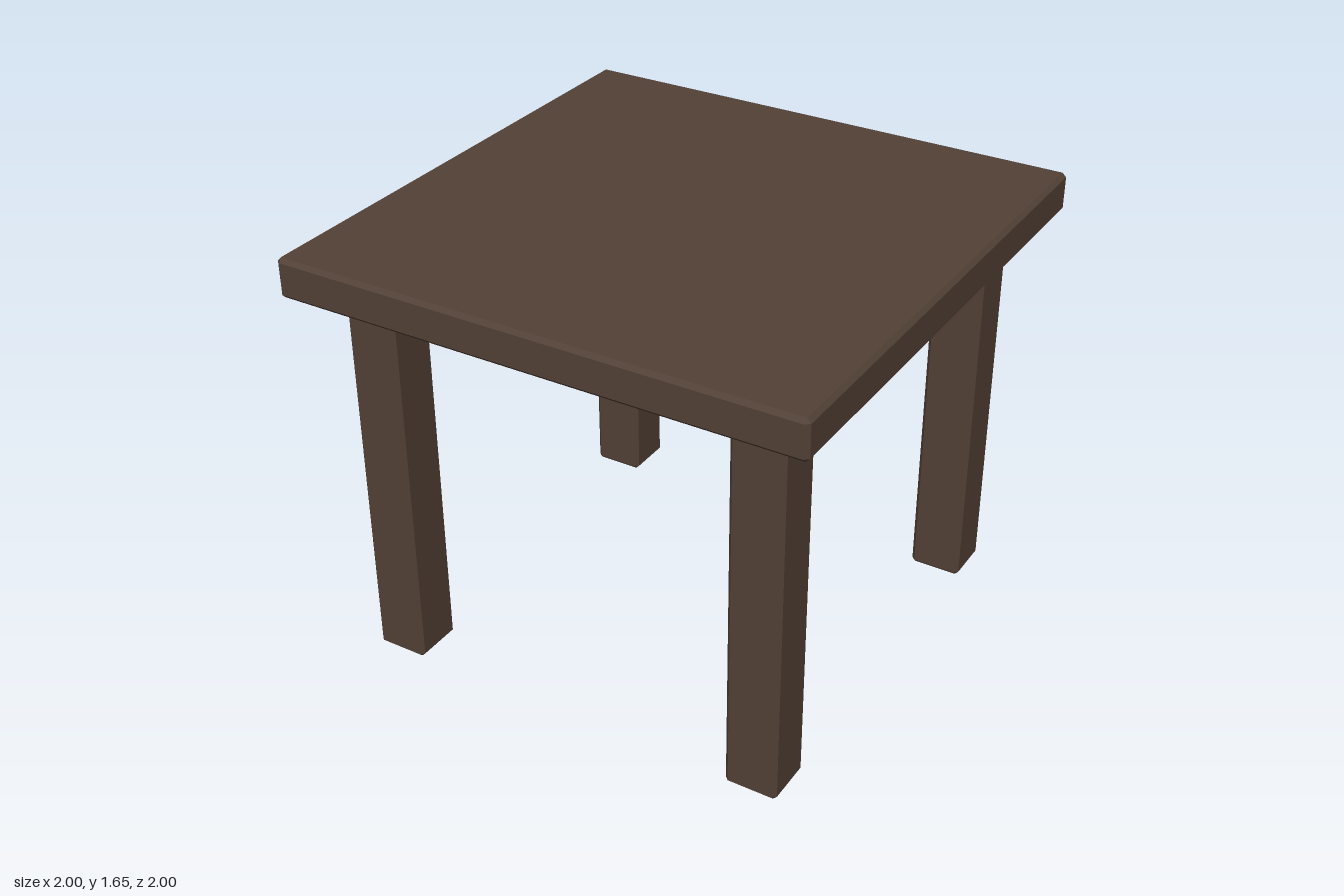
import * as THREE from 'three';
import { ConvexGeometry } from 'three/addons/geometries/ConvexGeometry.js';

// Box with flat chamfers on every edge, centred on the origin
function chamferedBox(w, h, d, c) {
  const points = [];
  for (const x of [-1, 1]) for (const y of [-1, 1]) for (const z of [-1, 1]) {
    for (let axis = 0; axis < 3; axis++) {
      const inset = [c, c, c];
      inset[axis] = 0;
      points.push(new THREE.Vector3(
        x * (w / 2 - inset[0]), y * (h / 2 - inset[1]), z * (d / 2 - inset[2])));
    }
  }
  return new ConvexGeometry(points);
}

export function createModel() {
  const model = new THREE.Group();
  model.name = 'table';
  const wood = new THREE.MeshStandardMaterial({ color: 0x524136, flatShading: true });

  // Square top slab
  const top = new THREE.Mesh(chamferedBox(2, 0.15, 2, 0.015), wood);
  top.name = 'tableTop';
  top.position.y = 1.575;
  model.add(top);

  // Four square legs, let slightly into the slab
  const legHeight = 1.52;
  const legGeometry = chamferedBox(0.2, legHeight, 0.2, 0.015);
  for (const [side, x] of [['Left', 0.75], ['Right', -0.75]]) {
    for (const [end, z] of [['front', 0.75], ['back', -0.75]]) {
      const leg = new THREE.Mesh(legGeometry, wood);
      leg.name = `${end}${side}Leg`;
      leg.position.set(x, legHeight / 2, z);
      model.add(leg);
    }
  }
  return model;
}
